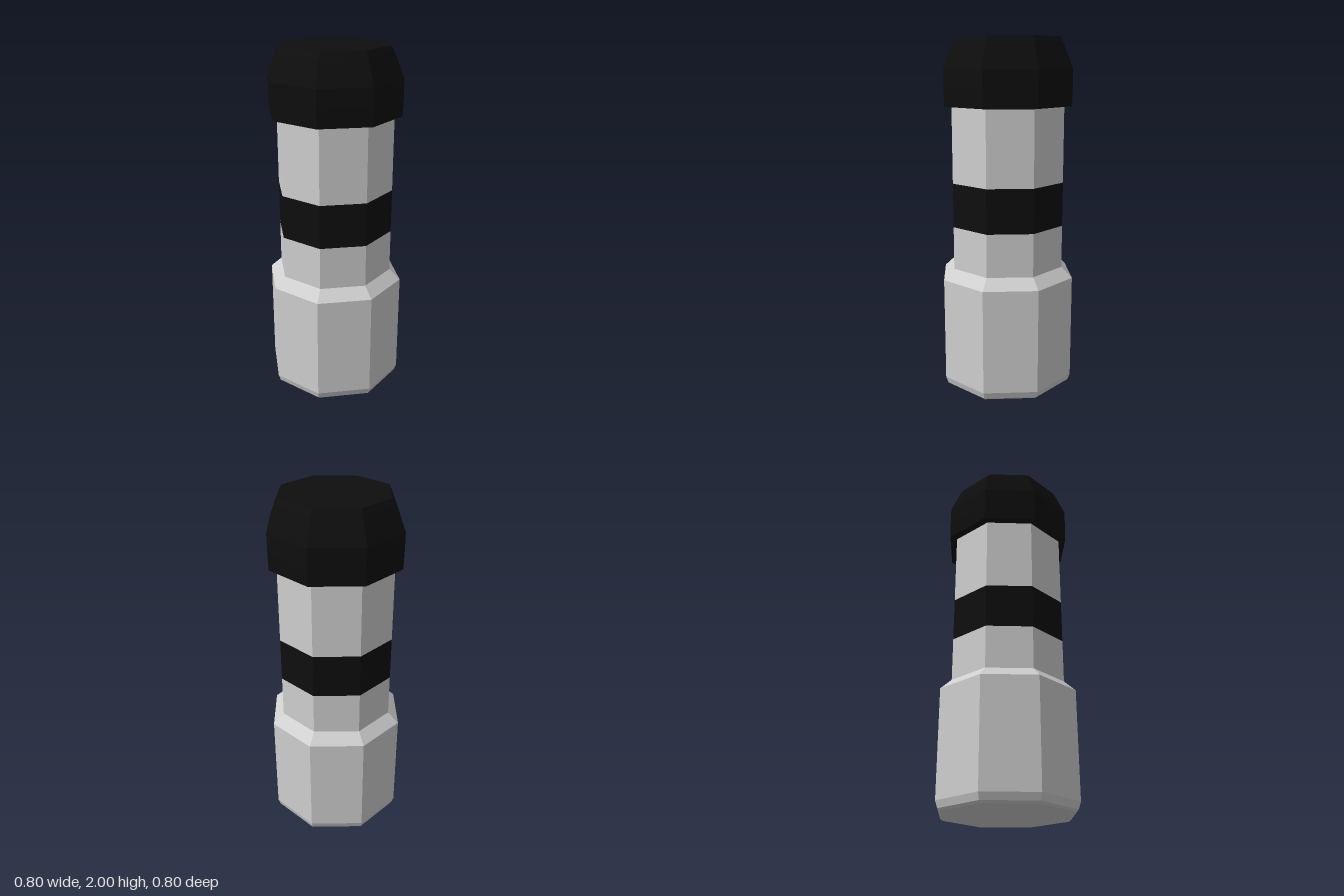
import * as THREE from 'three';

const SIDES = 8;

export function createModel() {
  const group = new THREE.Group();
  const grey = new THREE.MeshStandardMaterial({ color: 0xd0d0d0 });
  grey.name = 'light grey';
  const black = new THREE.MeshStandardMaterial({ color: 0x0e0e0e });
  black.name = 'black';

  // Faceted octagonal turning from [radius, height] pairs, bottom to top
  function turned(name, profile, material) {
    const points = profile.map(([r, y]) => new THREE.Vector2(r, y));
    const geometry = new THREE.LatheGeometry(points, SIDES).toNonIndexed();
    geometry.computeVertexNormals();
    const mesh = new THREE.Mesh(geometry, material);
    mesh.name = name;
    group.add(mesh);
  }

  // Wide base with bevelled foot and sloping shoulder
  turned('base', [[0, 0], [0.37, 0], [0.385, 0.012], [0.398, 0.05], [0.398, 0.65], [0.334, 0.71]], grey);

  // Post, split around the painted band
  turned('lowerPost', [[0.334, 0.71], [0.334, 0.955]], grey);
  turned('band', [[0.334, 0.955], [0.334, 1.205]], black);
  turned('upperPost', [[0.334, 1.205], [0.334, 1.635]], grey);

  // Overhanging cap with tapered sides and a flat top
  turned('cap', [[0.33, 1.625], [0.377, 1.63], [0.379, 1.73], [0.379, 1.83], [0.322, 1.97], [0.305, 2], [0, 2]], black);

  return group;
}
